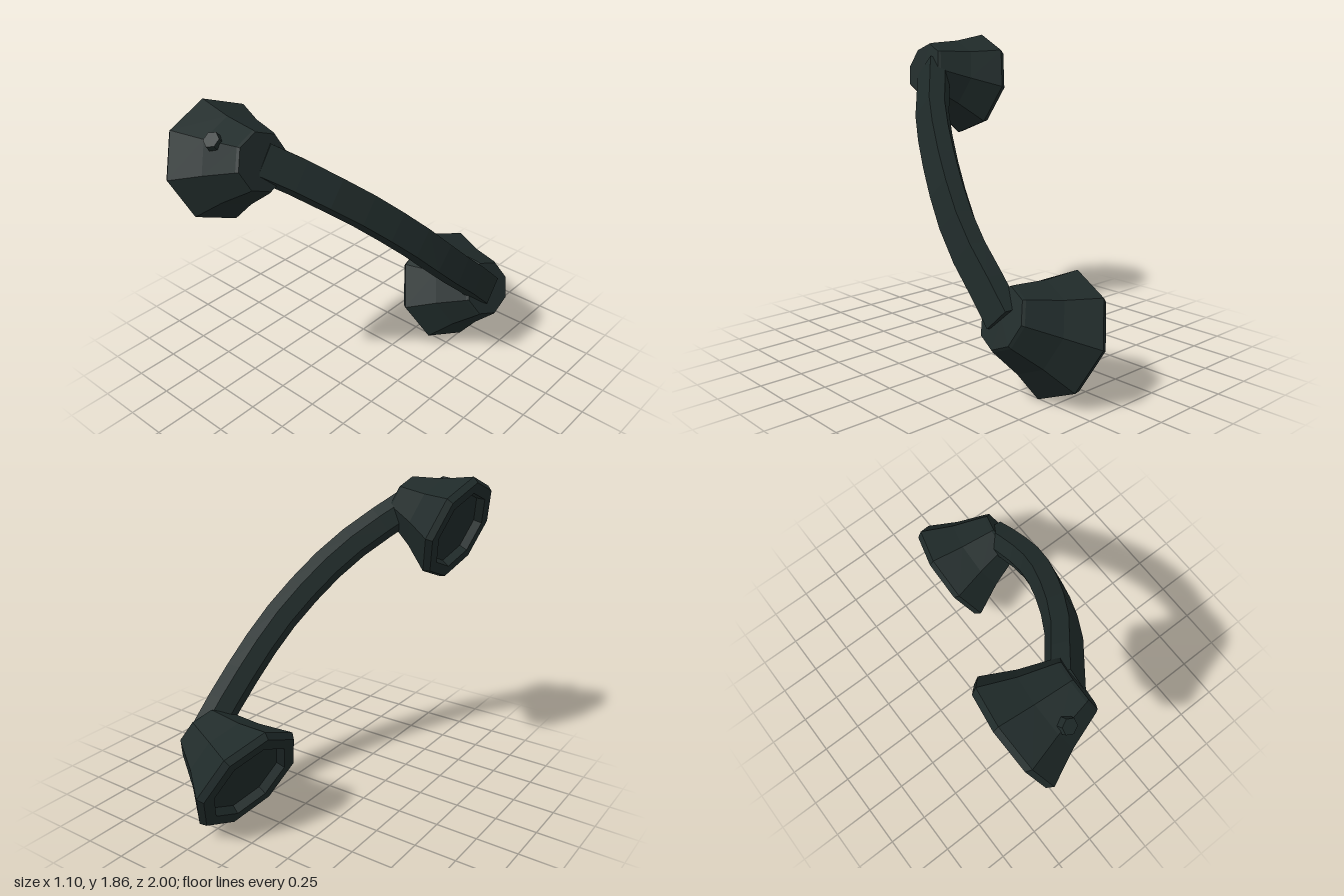
import * as THREE from 'three';

// Give every face its own flat normal
function faceted(geometry) {
  const flat = geometry.index ? geometry.toNonIndexed() : geometry;
  flat.computeVertexNormals();
  return flat;
}

// Sweep a cross-section (outward, across) along a curve, closing both ends
function sweep(curve, section, side, steps) {
  const n = section.length;
  const positions = [];
  const index = [];
  for (let i = 0; i <= steps; i++) {
    const centre = curve.getPointAt(i / steps);
    const tangent = curve.getTangentAt(i / steps);
    const outward = new THREE.Vector3().crossVectors(side, tangent).normalize();
    const across = new THREE.Vector3().crossVectors(tangent, outward);
    for (const [o, a] of section) {
      const p = centre.clone().addScaledVector(outward, o).addScaledVector(across, a);
      positions.push(p.x, p.y, p.z);
    }
  }
  for (let i = 0; i < steps; i++) {
    for (let j = 0; j < n; j++) {
      const a = i * n + j;
      const b = i * n + (j + 1) % n;
      index.push(a, b, b + n, a, b + n, a + n);
    }
  }
  const last = steps * n;
  for (let j = 1; j < n - 1; j++) {
    index.push(0, j + 1, j, last, last + j, last + j + 1);
  }
  const geometry = new THREE.BufferGeometry();
  geometry.setAttribute('position', new THREE.Float32BufferAttribute(positions, 3));
  geometry.setIndex(index);
  return geometry;
}

export function createModel() {
  const group = new THREE.Group();
  const shell = new THREE.MeshStandardMaterial({ color: 0x1f2a29 });
  shell.name = 'dark green-grey shell';

  const add = (geometry, name, parent = group) => {
    const mesh = new THREE.Mesh(faceted(geometry), shell);
    mesh.name = name;
    parent.add(mesh);
    return mesh;
  };

  // Flared eight-sided cup with a recessed mouth; local +y points away from the mouth
  const profile = [
    [0, 0.03], [0.245, 0.03], [0.262, -0.02], [0.335, -0.02], [0.357, 0.018],
    [0.256, 0.205], [0.178, 0.4], [0.168, 0.416], [0, 0.416],
  ];
  function cup(name, centre, back, roll, radial, axial) {
    const points = profile.map(([r, s]) => new THREE.Vector2(r * radial, s * axial));
    const geometry = new THREE.LatheGeometry(points, 8).rotateY(roll);
    const holder = new THREE.Group();
    holder.name = name + 'Group';
    const y = new THREE.Vector3(...back).normalize();
    const x = new THREE.Vector3().crossVectors(y, new THREE.Vector3(0, 1, 0)).normalize();
    const z = new THREE.Vector3().crossVectors(x, y);
    holder.quaternion.setFromRotationMatrix(new THREE.Matrix4().makeBasis(x, y, z));
    holder.position.set(...centre);
    group.add(holder);
    add(geometry, name, holder);
  }
  cup('earCup', [-0.447, 1.553, 0.672], [0.95, 0.30, 0.06], 0, 0.915, 0.96);
  cup('mouthCup', [0.096, 0.325, -0.648], [0.90, 0.40, 0.14], 0.06, 1, 1);

  // Curved grip: flat outer face, narrowing towards the inside
  const curve = new THREE.CatmullRomCurve3([
    [-0.13, 1.65, 0.66], [-0.02, 1.55, 0.53], [0.10, 1.43, 0.39], [0.205, 1.285, 0.225],
    [0.285, 1.135, 0.07], [0.345, 0.995, -0.07], [0.393, 0.82, -0.235],
    [0.415, 0.65, -0.42], [0.43, 0.48, -0.59],
  ].map((p) => new THREE.Vector3(...p)));
  const section = [
    [0.08, -0.085], [0.08, 0.085], [-0.015, 0.1],
    [-0.085, 0.03], [-0.085, -0.03], [-0.015, -0.1],
  ];
  add(sweep(curve, section, new THREE.Vector3(0.08, -0.73, 0.68), 9), 'grip');

  // Small stud on the ear cup
  const stud = add(new THREE.CylinderGeometry(0.044, 0.05, 0.09, 6), 'stud');
  stud.position.set(-0.265, 1.757, 0.822);
  stud.quaternion.setFromUnitVectors(
    new THREE.Vector3(0, 1, 0), new THREE.Vector3(0.15, 0.72, 0.62).normalize());

  return group;
}
